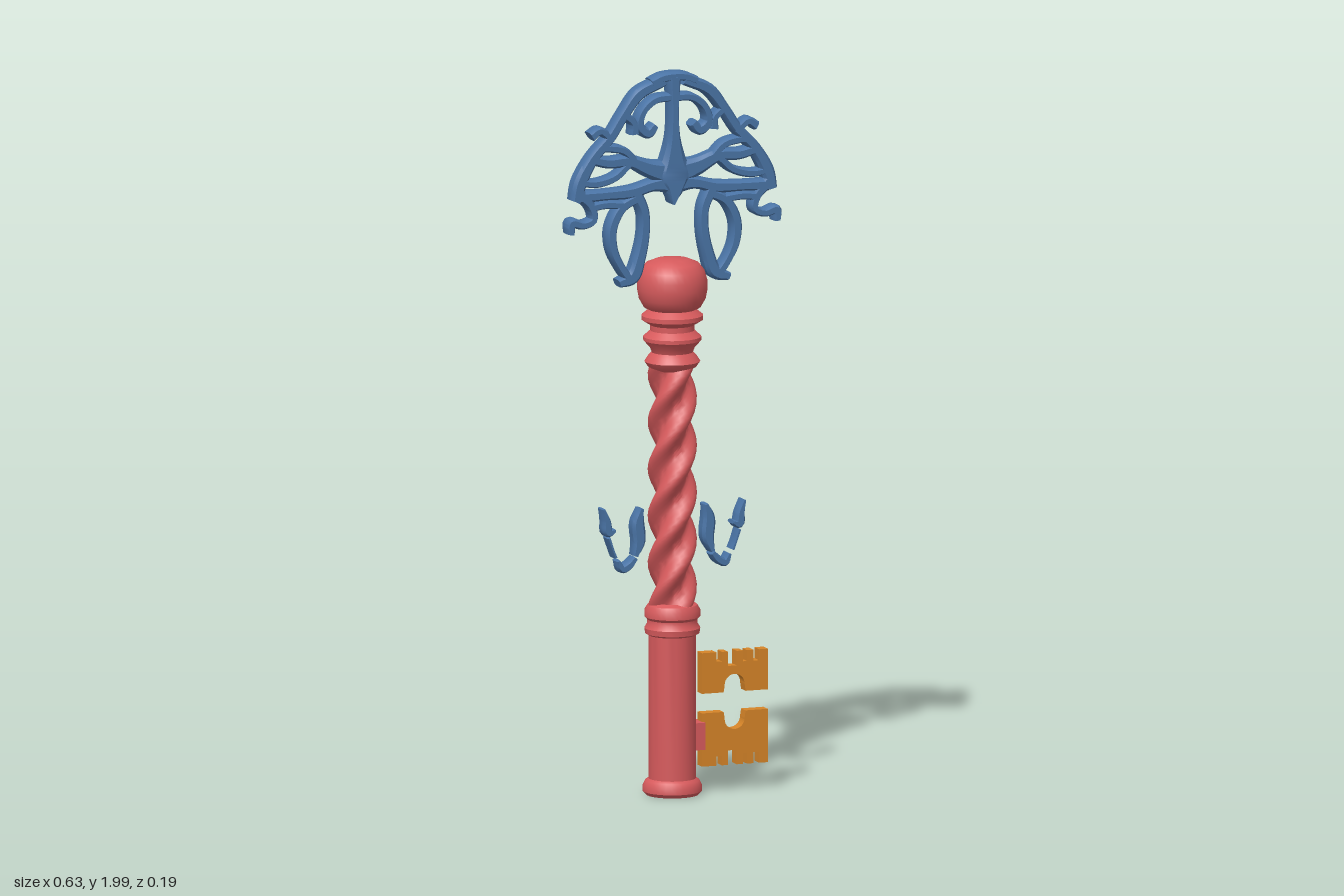
import * as THREE from 'three';
import { toCreasedNormals } from 'three/addons/utils/BufferGeometryUtils.js';

const red = new THREE.MeshStandardMaterial({ color: 0xd65a5c });
red.name = 'shaft red';
const blue = new THREE.MeshStandardMaterial({ color: 0x4a74a6 });
blue.name = 'scroll blue';
const gold = new THREE.MeshStandardMaterial({ color: 0xd58428 });
gold.name = 'bit orange';

function add(parent, name, geo, mat) {
  const mesh = new THREE.Mesh(geo, mat);
  mesh.name = name;
  parent.add(mesh);
  return mesh;
}

// Turned part from [radius, height] pairs
function turned(points) {
  const geo = new THREE.LatheGeometry(points.map(([r, y]) => new THREE.Vector2(r, y)), 32);
  return toCreasedNormals(geo, 0.6);
}

// Flat scroll strand: [x, y, half width] points swept with a boxy section
function strand(points, side = 1, depth = 0.025) {
  const curve = new THREE.CatmullRomCurve3(points.map(([x, y, w]) => new THREE.Vector3(x * side, y, w)), false, 'centripetal');
  const steps = (points.length - 1) * 5, sides = 8;
  const pos = [], idx = [];
  const box = (v) => Math.sign(v) * Math.pow(Math.abs(v), 0.6);
  for (let i = 0; i <= steps; i++) {
    const p = curve.getPoint(i / steps);
    const t = curve.getTangent(i / steps).setZ(0).normalize();
    const w = Math.max(p.z, 0.003);
    for (let j = 0; j < sides; j++) {
      const a = ((j + 0.5) / sides) * Math.PI * 2;
      const n = box(Math.cos(a)) * w;
      pos.push(p.x - t.y * n, p.y + t.x * n, box(Math.sin(a)) * depth * 1.05 - 0.002);
    }
  }
  for (const i of [0, 1]) {
    const p = curve.getPoint(i);
    pos.push(p.x, p.y, -0.002);
  }
  const start = (steps + 1) * sides;
  for (let j = 0; j < sides; j++) {
    const k = (j + 1) % sides;
    for (let i = 0; i < steps; i++) {
      const a = i * sides + j, b = i * sides + k;
      idx.push(a, b, a + sides, b, b + sides, a + sides);
    }
    idx.push(start, k, j, start + 1, steps * sides + j, steps * sides + k);
  }
  const geo = new THREE.BufferGeometry();
  geo.setAttribute('position', new THREE.Float32BufferAttribute(pos, 3));
  geo.setIndex(idx);
  return toCreasedNormals(geo, 0.6);
}

// Three-lobed twisted stem
function twist(y0, y1) {
  const geo = new THREE.CylinderGeometry(1, 1, y1 - y0, 30, 64, true);
  const p = geo.attributes.position;
  for (let i = 0; i < p.count; i++) {
    const y = p.getY(i), a = Math.atan2(p.getZ(i), p.getX(i)) + (y * Math.PI * 2) / 0.39;
    const r = 0.054 + 0.013 * Math.cos(3 * a);
    const b = Math.atan2(p.getZ(i), p.getX(i));
    p.setXYZ(i, r * Math.cos(b), y + (y0 + y1) / 2, r * Math.sin(b));
  }
  geo.computeVertexNormals();
  return toCreasedNormals(geo, 0.7);
}

// Toothed key plate with three slots, and an arch cut in the opposite edge
function bit(height) {
  const s = new THREE.Shape();
  s.moveTo(0.08, 0);
  s.lineTo(0.143, 0);
  s.lineTo(0.146, 0.018);
  s.absarc(0.175, 0.02, 0.029, Math.PI, 0, true);
  s.lineTo(0.207, 0);
  s.lineTo(0.272, 0);
  s.lineTo(0.272, height);
  for (const [x, w, d] of [[0.238, 0.008, 0.03], [0.205, 0.006, 0.03], [0.168, 0.013, 0.04], [0.13, 0.008, 0.026]]) {
    s.lineTo(x + w, height);
    s.lineTo(x + w, height - d);
    s.lineTo(x - w, height - d);
    s.lineTo(x - w, height);
  }
  s.lineTo(0.08, height);
  s.closePath();
  const geo = new THREE.ExtrudeGeometry(s, { depth: 0.034, bevelEnabled: false, curveSegments: 10 });
  return geo.translate(0, 0, -0.017);
}

export function createModel() {
  const key = new THREE.Group();
  key.name = 'key';

  // Shaft
  const shaft = new THREE.Group();
  shaft.name = 'shaft';
  key.add(shaft);
  add(shaft, 'barrel', turned([[0, 0.005], [0.072, 0.005], [0.081, 0.015], [0.081, 0.03], [0.074, 0.044], [0.065, 0.05],
    [0.065, 0.445], [0.074, 0.45], [0.076, 0.465], [0.068, 0.478], [0.068, 0.488], [0.076, 0.496], [0.076, 0.515],
    [0.068, 0.528], [0.05, 0.535]]), red);
  add(shaft, 'twistedStem', twist(0.52, 1.2), red);
  add(shaft, 'neckRings', turned([[0.045, 1.175], [0.066, 1.185], [0.076, 1.2], [0.066, 1.215], [0.056, 1.225], [0.062, 1.24],
    [0.079, 1.258], [0.079, 1.268], [0.06, 1.285], [0.06, 1.3], [0.084, 1.315], [0.084, 1.327], [0.068, 1.34], [0.055, 1.35]]), red);
  add(shaft, 'ball', turned([[0.055, 1.338], [0.078, 1.35], [0.091, 1.373], [0.096, 1.4], [0.095, 1.425], [0.088, 1.45],
    [0.072, 1.47], [0.045, 1.481], [0, 1.484]]), red);

  // Key bits and the lug that joins them
  add(key, 'upperBit', bit(0.112), gold).position.y = 0.278;
  const lower = add(key, 'lowerBit', bit(0.147), gold);
  lower.position.y = 0.224;
  lower.rotation.x = Math.PI;
  add(key, 'bitLug', new THREE.BoxGeometry(0.04, 0.075, 0.06), red).position.set(0.065, 0.163, 0);

  // Bow centre
  const bow = new THREE.Group();
  bow.name = 'bow';
  key.add(bow);
  add(bow, 'centreStem', strand([[0, 1.985, 0.02], [0, 1.9, 0.014], [0, 1.82, 0.018], [0, 1.76, 0.035], [0, 1.71, 0.055],
    [0, 1.675, 0.03], [-0.005, 1.635, 0.004]], 1, 0.03), blue);
  add(bow, 'topCap', strand([[-0.065, 1.972, 0.012], [-0.03, 1.985, 0.013], [0.03, 1.985, 0.013], [0.065, 1.972, 0.012]], 1, 0.028), blue);

  // Mirrored scrollwork
  const scrolls = {
    outerRim: [[0.03, 1.975, 0.015], [0.1, 1.945, 0.018], [0.145, 1.89, 0.016], [0.185, 1.83, 0.016], [0.235, 1.775, 0.017],
      [0.272, 1.71, 0.02], [0.285, 1.66, 0.016]],
    rimKnob: [[0.18, 1.82, 0.012], [0.215, 1.85, 0.012], [0.24, 1.835, 0.014]],
    arm: [[0, 1.715, 0.04], [0.07, 1.735, 0.026], [0.13, 1.76, 0.018], [0.19, 1.76, 0.016], [0.235, 1.77, 0.014]],
    lowerArm: [[0, 1.69, 0.03], [0.06, 1.69, 0.018], [0.12, 1.675, 0.018], [0.2, 1.672, 0.015], [0.275, 1.67, 0.018]],
    armBranch: [[0.13, 1.755, 0.012], [0.17, 1.72, 0.012], [0.225, 1.705, 0.012], [0.27, 1.71, 0.01]],
    topCurl: [[0.01, 1.93, 0.012], [0.055, 1.925, 0.012], [0.09, 1.895, 0.012], [0.1, 1.855, 0.014], [0.075, 1.835, 0.016],
      [0.055, 1.855, 0.012]],
    innerCurl: [[0.145, 1.89, 0.012], [0.118, 1.865, 0.012], [0.115, 1.835, 0.015]],
    middleCurl: [[0.11, 1.755, 0.012], [0.145, 1.79, 0.012], [0.185, 1.8, 0.012], [0.21, 1.8, 0.01]],
    sideCurl: [[0.275, 1.68, 0.018], [0.24, 1.64, 0.014], [0.235, 1.605, 0.012], [0.265, 1.593, 0.012], [0.298, 1.6, 0.014],
      [0.3, 1.57, 0.011]],
    innerLobe: [[0.11, 1.67, 0.018], [0.088, 1.62, 0.016], [0.086, 1.56, 0.016], [0.1, 1.49, 0.018], [0.12, 1.44, 0.02],
      [0.16, 1.425, 0.012]],
    outerLobe: [[0.1, 1.66, 0.014], [0.15, 1.635, 0.015], [0.18, 1.58, 0.016], [0.178, 1.52, 0.015], [0.155, 1.47, 0.013],
      [0.13, 1.435, 0.014]],
    lobeBridge: [[0.145, 1.64, 0.012], [0.2, 1.645, 0.012], [0.24, 1.64, 0.012]],
  };
  // Broken leaf scrolls beside the stem
  const leaves = {
    leafBlade: [[0.094, 0.8, 0.006], [0.103, 0.76, 0.018], [0.1, 0.71, 0.018], [0.112, 0.67, 0.008]],
    leafFoot: [[0.112, 0.665, 0.008], [0.13, 0.645, 0.012], [0.15, 0.637, 0.012], [0.162, 0.66, 0.005]],
    leafTip: [[0.205, 0.805, 0.004], [0.195, 0.77, 0.012], [0.19, 0.74, 0.014], [0.172, 0.745, 0.005]],
    leafSliver: [[0.19, 0.725, 0.005], [0.178, 0.69, 0.004], [0.17, 0.67, 0.005]],
  };
  for (const [set, label, depth] of [[scrolls, 'bowScrolls', 0.026], [leaves, 'stemLeaves', 0.023]]) {
    for (const side of [1, -1]) {
      const half = new THREE.Group();
      half.name = (side > 0 ? 'left ' : 'right ') + label;
      key.add(half);
      for (const [name, pts] of Object.entries(set)) add(half, name, strand(pts, side, depth), blue);
    }
  }
  return key;
}
